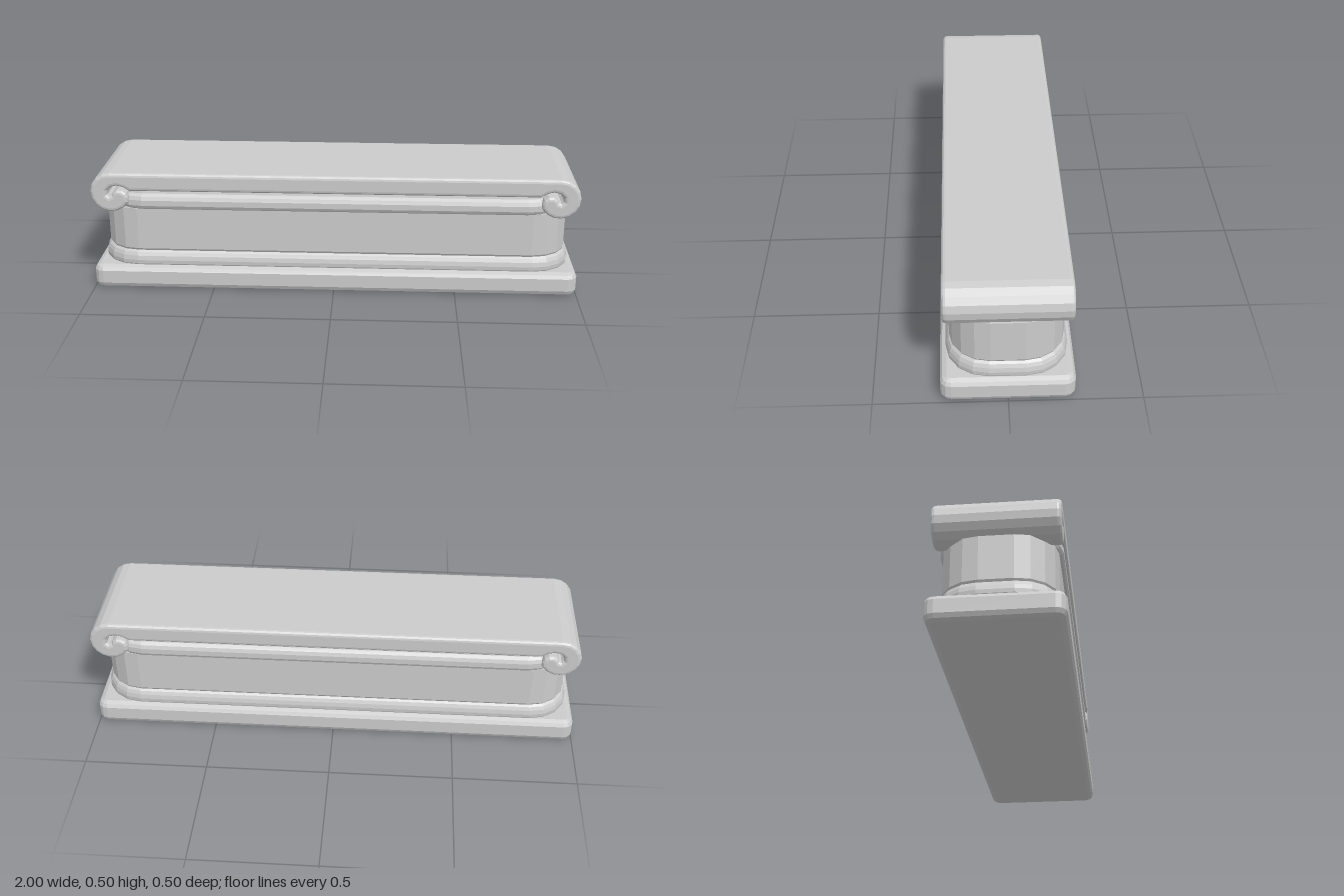
import * as THREE from 'three';

const material = new THREE.MeshStandardMaterial({ color: 0xcccccc, flatShading: true });

// Rounded rectangle in plan, as a loop of [x, z]
function planLoop(hx, hz, r, segments) {
  const loop = [];
  for (let q = 0; q < 4; q++) {
    const sx = q === 0 || q === 3 ? 1 : -1;
    const sz = q < 2 ? 1 : -1;
    for (let i = 0; i <= segments; i++) {
      const a = (q + i / segments) * Math.PI / 2;
      loop.push([sx * (hx - r) + r * Math.cos(a), sz * (hz - r) + r * Math.sin(a)]);
    }
  }
  return loop;
}

// Solid moulding: a profile of [y, inset] carried round a rounded rectangle
function moulding(name, hx, hz, r, segments, profile) {
  const rings = profile.map(([y, d]) =>
    planLoop(hx - d, hz - d, r - d, segments).map(([x, z]) => [x, y, z]));
  const n = rings[0].length;
  const positions = [];
  const tri = (...points) => points.forEach(p => positions.push(...p));
  for (let j = 0; j < n; j++) {
    const k = (j + 1) % n;
    for (let i = 0; i < rings.length - 1; i++) {
      const lo = rings[i], hi = rings[i + 1];
      tri(lo[j], hi[j], lo[k]);
      tri(hi[j], hi[k], lo[k]);
    }
    const bottom = rings[0], top = rings[rings.length - 1];
    tri([0, top[0][1], 0], top[k], top[j]);
    tri([0, bottom[0][1], 0], bottom[j], bottom[k]);
  }
  const geometry = new THREE.BufferGeometry();
  geometry.setAttribute('position', new THREE.Float32BufferAttribute(positions, 3));
  geometry.computeVertexNormals();
  const mesh = new THREE.Mesh(geometry, material);
  mesh.name = name;
  return mesh;
}

// Top slab whose two ends curl under into volutes
function scrollSlab() {
  const half = [];
  for (let i = 0; i <= 11; i++) {
    const a = Math.PI / 2 - i * Math.PI / 8.25;
    half.push([0.91 + 0.083 * Math.cos(a), 0.418 + 0.083 * Math.sin(a)]);
  }
  // Curled tip, then the groove back out to the slab's underside
  half.push(
    [0.838, 0.398], [0.846, 0.415], [0.863, 0.427], [0.884, 0.427], [0.899, 0.416],
    [0.905, 0.404], [0.915, 0.400], [0.924, 0.408], [0.923, 0.426], [0.908, 0.441],
    [0.882, 0.447], [0.856, 0.440], [0.832, 0.425],
  );
  const mirrored = half.map(([x, y]) => [-x, y]).reverse();
  const shape = new THREE.Shape([...half, ...mirrored].map(([x, y]) => new THREE.Vector2(x, y)));
  const bevel = 0.015;
  const depth = 0.47 - 2 * bevel;
  const geometry = new THREE.ExtrudeGeometry(shape, {
    depth, bevelEnabled: true, bevelSize: bevel, bevelThickness: bevel,
    bevelOffset: -bevel, bevelSegments: 3,
  });
  geometry.translate(0, 0, -depth / 2);
  const mesh = new THREE.Mesh(geometry, material);
  mesh.name = 'scrollSlab';
  return mesh;
}

export function createModel() {
  const group = new THREE.Group();
  group.name = 'scrolledPedestal';
  group.add(
    // Square-cornered foot with softened edges
    moulding('plinth', 1, 0.25, 0.04, 3, [
      [0, 0.025], [0.008, 0.008], [0.024, 0], [0.078, 0], [0.092, 0.008], [0.1, 0.025],
    ]),
    // Rounded base moulding
    moulding('baseMoulding', 0.975, 0.228, 0.16, 4, [
      [0.095, 0.006], [0.105, 0.001], [0.12, 0], [0.138, 0.004], [0.152, 0.011], [0.161, 0.022],
    ]),
    // Shaft with rounded ends
    moulding('shaft', 0.96, 0.214, 0.15, 4, [
      [0.155, 0.008], [0.168, 0], [0.345, 0],
    ]),
    // Bulging band beneath the slab, its ends tucked into the volutes
    moulding('neckBand', 0.925, 0.229, 0.14, 4, [
      [0.343, 0.017], [0.35, 0.006], [0.362, 0], [0.385, 0], [0.4, 0.006], [0.41, 0.019], [0.43, 0.024],
    ]),
    scrollSlab(),
  );
  return group;
}
